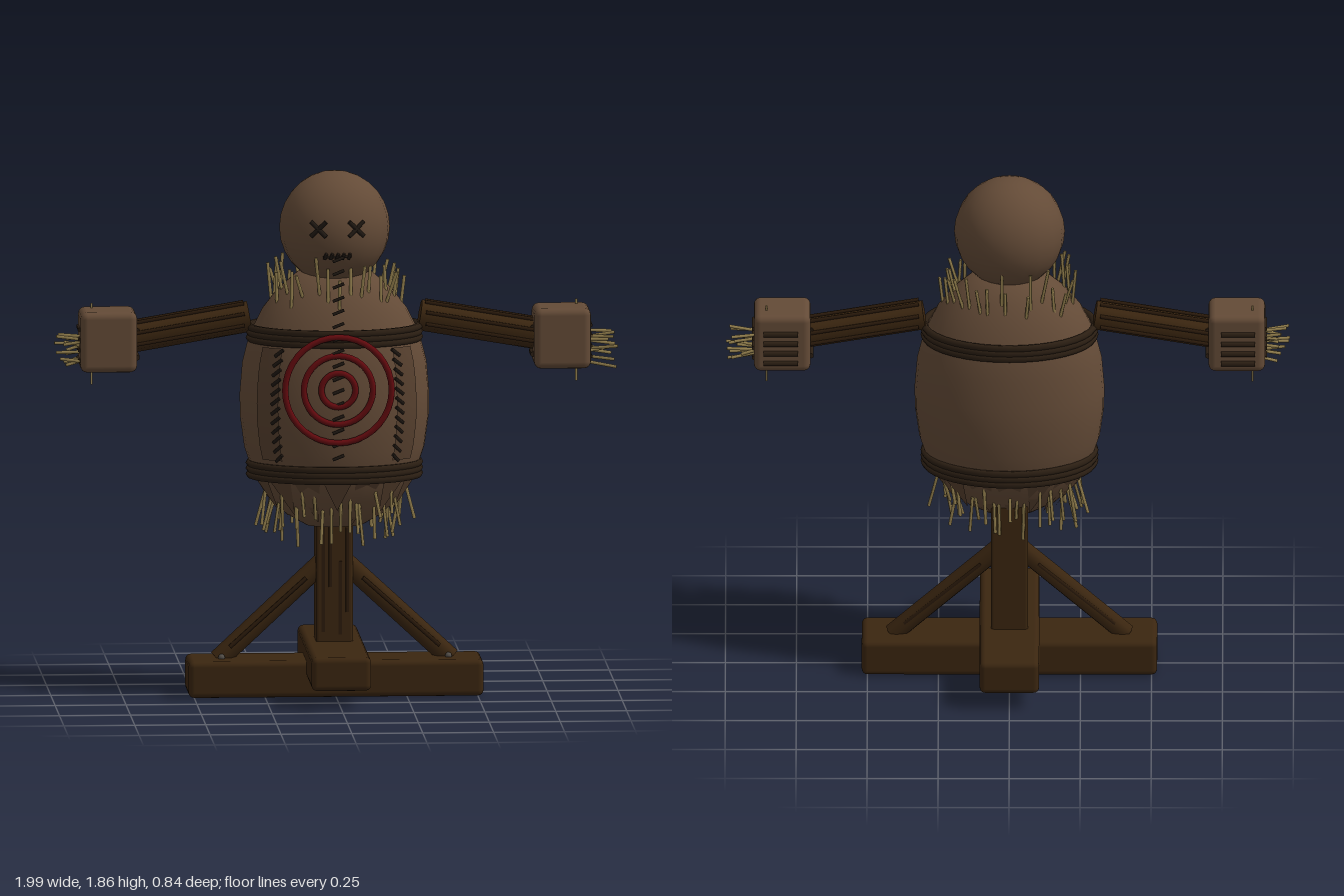
import * as THREE from 'three';
import { RoundedBoxGeometry } from 'three/addons/geometries/RoundedBoxGeometry.js';

const paint = (name, color) => {
  const m = new THREE.MeshStandardMaterial({ color });
  m.name = name;
  return m;
};
const V = (x, y, z) => new THREE.Vector3(x, y, z);

export function createModel() {
  const burlap = paint('burlap', 0x644b37);
  const wood = paint('wood', 0x3b2610);
  const bark = paint('dark wood', 0x2c1b0b);
  const rope = paint('rope', 0x2c1f13);
  const thread = paint('thread', 0x1f1812);
  const straw = paint('straw', 0x94804e);
  const red = paint('red paint', 0x640a0e);
  const iron = paint('iron', 0x55504a);
  const cloth = paint('cloth flaps', 0x58412f);
  cloth.side = THREE.DoubleSide;

  const model = new THREE.Group();
  let seed = 7;
  const rand = (a = 0, b = 1) => {
    seed = (seed * 16807) % 2147483647;
    return a + (b - a) * (seed / 2147483647);
  };
  const add = (parent, name, geo, mat, x = 0, y = 0, z = 0) => {
    const m = new THREE.Mesh(geo, mat);
    m.name = name;
    m.position.set(x, y, z);
    parent.add(m);
    return m;
  };
  const group = (name) => {
    const g = new THREE.Group();
    g.name = name;
    model.add(g);
    return g;
  };
  const block = (parent, name, mat, size, pos, r = 0.02) =>
    add(parent, name, new RoundedBoxGeometry(...size, 2, r), mat, ...pos);
  // A round bar running from a to b
  const bar = (parent, name, mat, a, b, r, sides = 6) => {
    const d = b.clone().sub(a);
    const m = add(parent, name, new THREE.CylinderGeometry(r, r, d.length(), sides), mat);
    m.position.copy(a).add(b).multiplyScalar(0.5);
    m.quaternion.setFromUnitVectors(V(0, 1, 0), d.normalize());
    return m;
  };

  // Crossed base and post
  const stand = group('stand');
  block(stand, 'longFoot', wood, [1.04, 0.13, 0.23], [0, 0.075, 0]);
  block(stand, 'crossFoot', wood, [0.21, 0.12, 0.84], [0, 0.135, 0]);
  block(stand, 'post', wood, [0.13, 0.75, 0.14], [0, 0.48, -0.055], 0.01);
  for (const [x, y, h] of [[-0.04, 0.42, 0.38], [-0.015, 0.5, 0.22], [0.02, 0.35, 0.26], [0.045, 0.45, 0.3]])
    add(stand, 'postGrain', new THREE.BoxGeometry(0.012, h, 0.008), bark, x, y, 0.016);

  // Diagonal braces with bolts
  for (const s of [-1, 1]) {
    const a = V(s * 0.41, 0.13, -0.01), b = V(s * 0.04, 0.47, -0.04);
    bar(stand, 'brace', wood, a, b, 0.036, 8);
    for (const z of [0.025, -0.045])
      bar(stand, 'braceGrain', bark, V(s * 0.37, 0.18, z * 0.9), V(s * 0.1, 0.42, z - 0.02), 0.008);
    add(stand, 'bolt', new THREE.SphereGeometry(0.012, 8, 6), iron, s * 0.4, 0.145, 0.035);
  }

  // Stuffed sack body
  const profile = [[0, 0.6], [0.1, 0.61], [0.17, 0.65], [0.235, 0.71], [0.285, 0.79], [0.318, 0.89],
    [0.333, 1.0], [0.334, 1.08], [0.325, 1.19], [0.3, 1.29], [0.255, 1.38], [0.2, 1.45], [0.13, 1.51], [0, 1.55]];
  const radiusAt = (y) => {
    for (let i = 1; i < profile.length; i++) {
      const [r0, y0] = profile[i - 1], [r1, y1] = profile[i];
      if (y <= y1) return r0 + ((r1 - r0) * (y - y0)) / (y1 - y0);
    }
    return 0;
  };
  const DEPTH = 0.69;
  const onBody = (angle, y, out = 0) => {
    const r = radiusAt(y) + out;
    return V(Math.sin(angle) * r, y, Math.cos(angle) * r * DEPTH);
  };
  const body = group('body');
  const sack = add(body, 'sack', new THREE.LatheGeometry(profile.map((p) => new THREE.Vector2(...p)), 32), burlap);
  sack.scale.z = DEPTH;

  // Rope bindings, three turns each
  for (const y of [0.812, 1.297])
    for (const dy of [-0.02, 0, 0.02]) {
      const ring = add(body, 'ropeBinding', new THREE.TorusGeometry(0.3, 0.013, 6, 36), rope, 0, y + dy, 0);
      ring.rotation.x = Math.PI / 2;
      ring.scale.y = 0.725;
    }

  // Side patches curved over the sack, sewn along the front edge
  for (const s of [-1, 1]) {
    const a0 = s > 0 ? 0.66 : -0.97;
    const patch = new THREE.PlaneGeometry(1, 1, 5, 8);
    const p = patch.attributes.position;
    for (let i = 0; i < p.count; i++) {
      const v = onBody(a0 + (p.getX(i) + 0.5) * 0.31, 1.06 + p.getY(i) * 0.4, 0.008);
      p.setXYZ(i, v.x, v.y, v.z);
    }
    patch.computeVertexNormals();
    add(body, 'sidePatch', patch, cloth);
    for (let i = 0; i < 12; i++) {
      const y = 0.87 + i * 0.034;
      bar(body, 'patchStitch', thread, onBody(s * 0.64, y + 0.012, 0.012), onBody(s * 0.74, y - 0.012, 0.012), 0.006);
    }
  }

  // Centre seam
  for (let i = 0; i < 16; i++) {
    const y = 0.88 + i * 0.047;
    bar(body, 'seamStitch', thread, V(-0.02, y - 0.008, 0.235), V(0.02, y + 0.008, 0.235), 0.006);
  }

  // Painted target rings
  for (const r of [0.188, 0.122, 0.06])
    add(body, 'targetRing', new THREE.TorusGeometry(r, 0.011, 6, 36), red, 0, 1.12, 0.235);

  // Torn cloth hem
  for (let i = 0; i < 16; i++) {
    const a = (i / 16) * Math.PI * 2, h = rand(0.1, 0.17);
    const pts = [onBody(a - 0.17, 0.78, 0.006), onBody(a, 0.78 - h, 0.03), onBody(a + 0.17, 0.78, 0.006)];
    const flap = new THREE.BufferGeometry().setFromPoints(pts);
    flap.computeVertexNormals();
    add(body, 'hemFlap', flap, cloth);
  }

  // Straw poking out at neck and hem
  const tuft = group('straw');
  for (let i = 0; i < 34; i++) {
    const a = (i / 34) * Math.PI * 2 + rand(-0.08, 0.08), y = rand(1.39, 1.45);
    const start = onBody(a, y, -0.01), out = rand(-0.01, 0.05);
    const end = V(start.x + Math.sin(a) * out, y + rand(0.08, 0.14), start.z + Math.cos(a) * out * 0.5);
    bar(tuft, 'neckStraw', straw, start, end, 0.006, 5);
  }
  for (let i = 0; i < 46; i++) {
    const a = (i / 46) * Math.PI * 2 + rand(-0.08, 0.08), y = rand(0.68, 0.76);
    const start = onBody(a, y, -0.01), out = rand(-0.03, 0.04);
    const end = V(start.x + Math.sin(a) * out, y - rand(0.08, 0.15), start.z + Math.cos(a) * out * 0.6);
    bar(tuft, 'hemStraw', straw, start, end, 0.006, 5);
  }

  // Head with sewn face
  const head = group('head');
  const skull = add(head, 'skull', new THREE.SphereGeometry(1, 20, 14), burlap, 0, 1.67, 0.01);
  skull.scale.set(0.195, 0.2, 0.18);
  const onFace = (x, y) => V(x, y, 0.015 + 0.18 * Math.sqrt(1 - (x / 0.195) ** 2 - ((y - 1.67) / 0.2) ** 2));
  for (const s of [-1, 1])
    for (const d of [-1, 1])
      bar(head, 'eyeStitch', thread, onFace(s * 0.067 - 0.026, 1.685 - d * 0.026),
        onFace(s * 0.067 + 0.026, 1.685 + d * 0.026), 0.008);
  bar(head, 'mouth', thread, onFace(-0.05, 1.585), onFace(0.05, 1.585), 0.005);
  for (let i = -2; i <= 2; i++)
    bar(head, 'mouthStitch', thread, onFace(i * 0.021 - 0.003, 1.577), onFace(i * 0.021 + 0.003, 1.597), 0.006);

  // Arms: log, sack hand, lashings, straw
  for (const s of [-1, 1]) {
    const arm = group(s > 0 ? 'leftArm' : 'rightArm');
    const a = V(s * 0.3, 1.352, 0), b = V(s * 0.78, 1.27, 0);
    bar(arm, 'log', wood, a, b, 0.055, 8);
    for (const [y, z] of [[0.02, 0.052], [-0.022, 0.05], [0.02, -0.052], [-0.022, -0.05], [0.053, 0.02], [0.053, -0.02]])
      bar(arm, 'logGrain', bark, V(s * 0.32, 1.348 + y, z), V(s * 0.72, 1.28 + y, z), 0.007);
    block(arm, 'hand', burlap, [0.2, 0.215, 0.19], [s * 0.8, 1.275, 0.005], 0.025);
    for (let i = 0; i < 4; i++) {
      const y = 1.205 + i * 0.037;
      bar(arm, 'backLashing', rope, V(s * 0.745, y, -0.092), V(s * 0.865, y, -0.092), 0.01);
      bar(arm, 'endLashing', rope, V(s * 0.9, y, -0.045), V(s * 0.9, y, 0.045), 0.008);
    }
    for (const y of [1.215, 1.31])
      bar(arm, 'wristLashing', rope, V(s * 0.698, y, -0.05), V(s * 0.698, y, 0.05), 0.01);
    for (let i = 0; i < 13; i++) {
      const y = rand(1.19, 1.29), z = rand(-0.05, 0.05);
      bar(arm, 'handStraw', straw, V(s * 0.87, y, z),
        V(s * rand(0.94, 1.0), y + rand(-0.025, 0.02), z + rand(-0.015, 0.015)), 0.006, 5);
    }
    bar(arm, 'looseStraw', straw, V(s * 0.855, 1.11, -0.03), V(s * 0.855, 1.4, -0.03), 0.004, 5);
  }

  return model;
}
